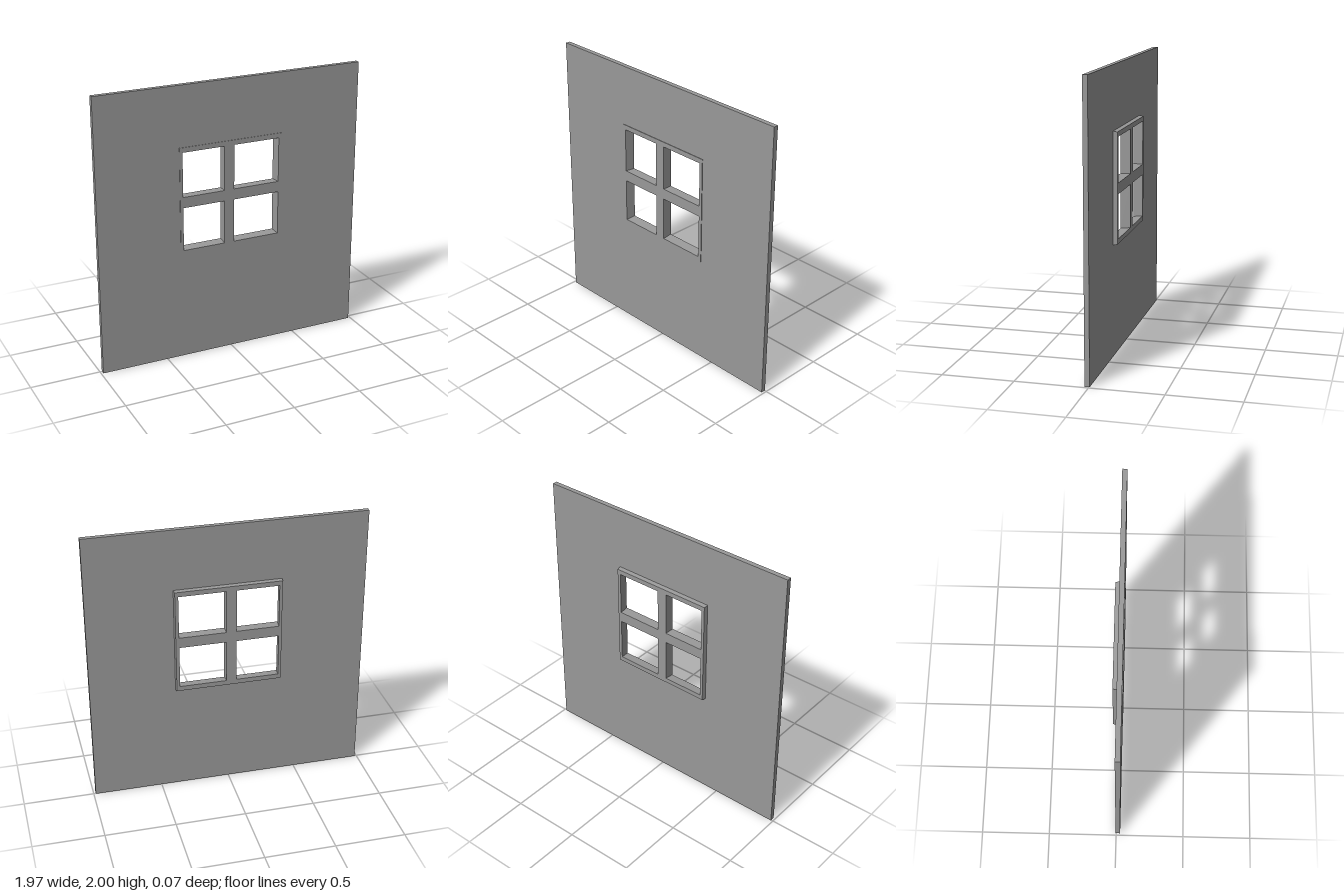
import * as THREE from 'three';

// Rectangle outline from two opposite corners
function rect(Type, x0, y0, x1, y1) {
  return new Type([[x0, y0], [x1, y0], [x1, y1], [x0, y1]].map(([x, y]) => new THREE.Vector2(x, y)));
}

// Extrude a shape between two depths
function slab(shape, zBack, zFront) {
  const geometry = new THREE.ExtrudeGeometry(shape, { depth: zFront - zBack, bevelEnabled: false });
  return geometry.translate(0, 0, zBack);
}

export function createModel() {
  const group = new THREE.Group();
  group.name = 'wallWithWindow';
  const grey = new THREE.MeshStandardMaterial({ color: 0x999999 });
  grey.name = 'wall grey';

  // Wall panel with a hole behind the window frame
  const wallShape = rect(THREE.Shape, -0.985, 0, 0.985, 2);
  wallShape.holes.push(rect(THREE.Path, -0.372, 0.797, 0.372, 1.553));
  const wall = new THREE.Mesh(slab(wallShape, -0.004, 0.03), grey);
  wall.name = 'wall';
  group.add(wall);

  // Window frame with four panes, crossbars included
  const midY = 1.175, zBack = -0.035, zFront = 0.035;
  const frameShape = rect(THREE.Shape, -0.386, 0.783, 0.386, 1.567);
  for (const [x0, x1] of [[-0.364, -0.054], [0.02, 0.362]]) {
    for (const [y0, y1] of [[0.818, 1.133], [1.211, 1.532]]) {
      frameShape.holes.push(rect(THREE.Path, x0, y0, x1, y1));
    }
  }
  const frameGeometry = slab(frameShape, zBack, zFront);

  // Taper the frame slightly toward the back
  const p = frameGeometry.attributes.position;
  for (let i = 0; i < p.count; i++) {
    const s = 1 - 0.024 * (zFront - p.getZ(i)) / (zFront - zBack);
    p.setXY(i, p.getX(i) * s, midY + (p.getY(i) - midY) * s);
  }
  frameGeometry.computeVertexNormals();
  const frame = new THREE.Mesh(frameGeometry, grey);
  frame.name = 'windowFrame';
  group.add(frame);

  return group;
}
